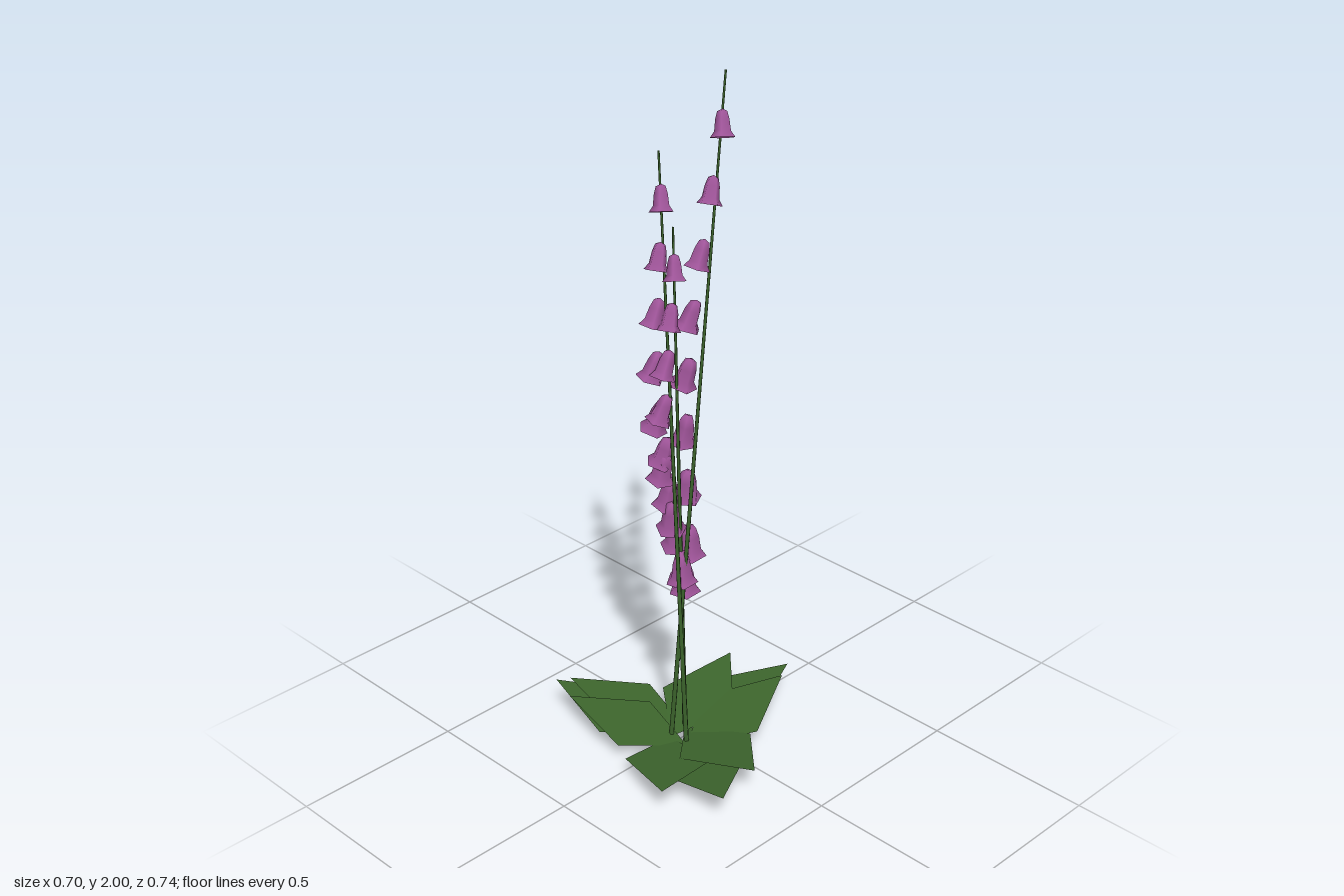
import * as THREE from 'three';

const green = new THREE.MeshStandardMaterial({ color: 0x3c642c, side: THREE.DoubleSide });
green.name = 'leaf green';
const mauve = new THREE.MeshStandardMaterial({ color: 0xa0559a, side: THREE.DoubleSide });
mauve.name = 'petal mauve';

// Each stalk: base and top of the stem, and the [x, z] tips of its ground leaves
const STALKS = [
  { base: [-0.077, 0, -0.01], top: [0.015, 2, 0.1], tips: [[0.272, -0.112], [-0.35, 0.232], [-0.19, -0.372]] },
  { base: [-0.075, 0, 0.052], top: [-0.1, 1.79, -0.02], tips: [[0.292, 0.08], [-0.256, 0.371], [-0.22, -0.282]] },
  { base: [-0.015, 0, -0.015], top: [-0.1, 1.6, 0.03], tips: [[0.348, 0.05], [-0.105, 0.345], [-0.155, -0.35]] },
];
const BELLS = 8;

// Five-sided bell hanging from its narrow end at the origin, with a flared rim
const bellGeometry = new THREE.LatheGeometry(
  [[0.001, 0], [0.019, -0.008], [0.027, -0.035], [0.032, -0.078], [0.048, -0.1]]
    .map(([r, y]) => new THREE.Vector2(r, y)), 5);

function makeStem(base, top) {
  const length = base.distanceTo(top);
  const stem = new THREE.Mesh(new THREE.CylinderGeometry(0.003, 0.0075, length, 5), green);
  stem.position.copy(base).lerp(top, 0.5);
  stem.quaternion.setFromUnitVectors(new THREE.Vector3(0, 1, 0), top.clone().sub(base).normalize());
  stem.name = 'stem';
  return stem;
}

// Flat kite-shaped leaf rising outward from the stem base
function makeLeaf(base, [tx, tz]) {
  const foot = new THREE.Vector3(base.x, 0.014, base.z);
  const tip = new THREE.Vector3(tx, 0.092, tz);
  const mid = foot.clone().lerp(tip, 0.445);
  const side = new THREE.Vector3(tz - base.z, 0, base.x - tx).setLength(0.117);
  const corners = [foot, mid.clone().add(side), tip, mid.clone().sub(side)];
  const geometry = new THREE.BufferGeometry().setFromPoints(corners);
  geometry.setIndex([0, 1, 2, 0, 2, 3]);
  geometry.computeVertexNormals();
  const leaf = new THREE.Mesh(geometry, green);
  leaf.name = 'leaf';
  return leaf;
}

// Bells wind round the stem, growing larger and hanging straighter towards the bottom
function makeBell(base, top, i) {
  const t = i / (BELLS - 1);
  const size = 0.7 + 0.27 * t;
  const y = top.y * (0.935 - 0.0875 * i);
  const holder = new THREE.Group();
  holder.name = 'flower';
  holder.position.copy(base).lerp(top, y / top.y);
  holder.position.y += 0.05 * size;
  holder.rotation.y = -THREE.MathUtils.degToRad(130 + 28 * i);
  const bell = new THREE.Mesh(bellGeometry, mauve);
  bell.name = 'bell';
  bell.position.x = 0.014 + 0.022 * t;
  bell.rotation.z = 0.4 - 0.3 * t * t;
  bell.scale.setScalar(size);
  holder.add(bell);
  return holder;
}

export function createModel() {
  const model = new THREE.Group();
  model.name = 'bellFlowerPlant';
  for (const { base, top, tips } of STALKS) {
    const stalk = new THREE.Group();
    stalk.name = 'stalk';
    const a = new THREE.Vector3(...base), b = new THREE.Vector3(...top);
    stalk.add(makeStem(a, b));
    for (const tip of tips) stalk.add(makeLeaf(a, tip));
    for (let i = 0; i < BELLS; i++) stalk.add(makeBell(a, b, i));
    model.add(stalk);
  }
  return model;
}
